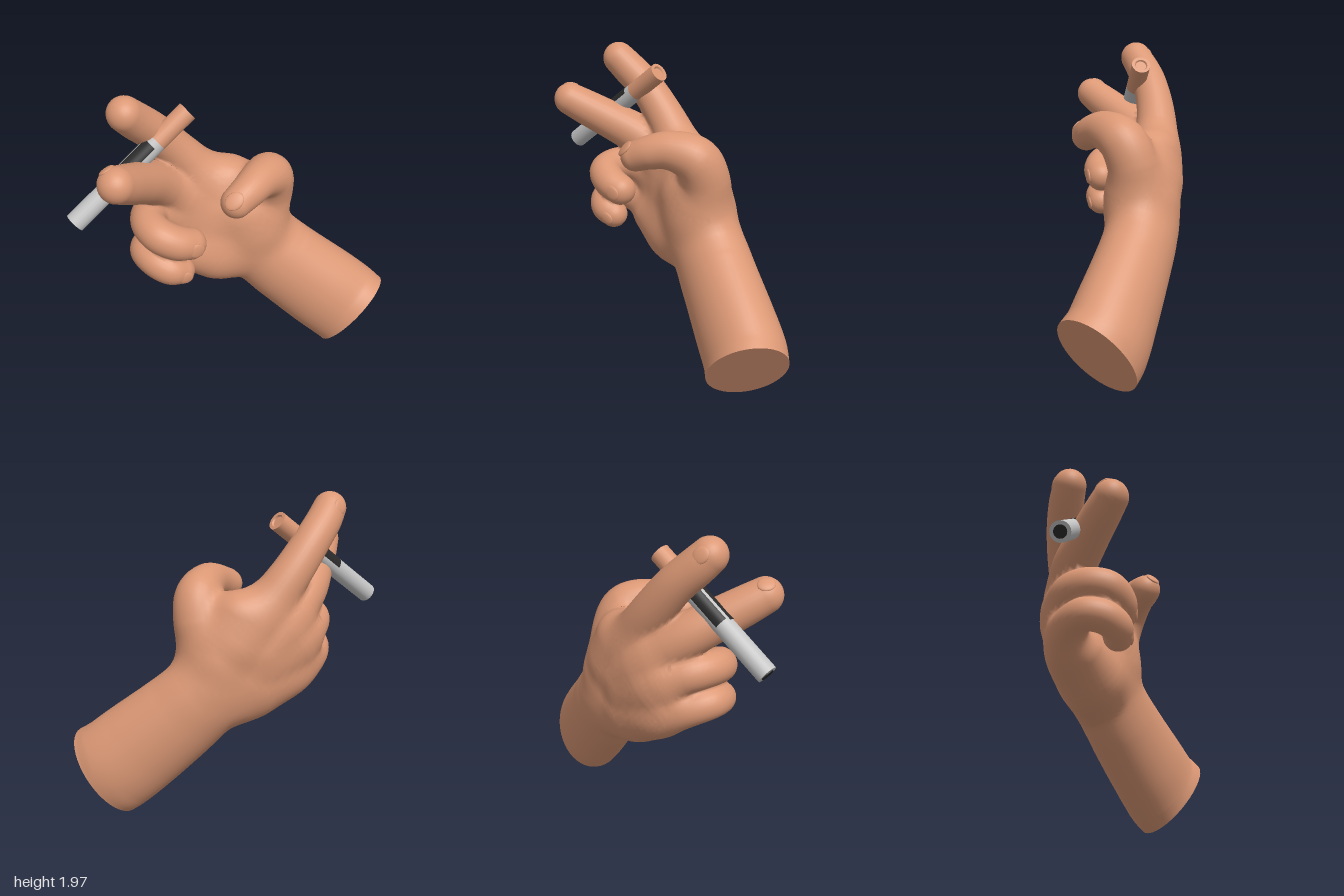
import * as THREE from 'three';

function material(name, color) {
  const m = new THREE.MeshStandardMaterial({ color });
  m.name = name;
  return m;
}
const skin = material('skin', 0xdb9875);
const paper = material('paleGrey', 0xc4c4c4);
const dark = material('charcoal', 0x2a2a2a);

const V = (a) => new THREE.Vector3(...a);

// Sweeps an ellipse along points [x, y, z, sideRadius, depthRadius], ending in a dome.
function limb(name, pts, depthDir, { endDir = depthDir, steps = 30, sides = 28 } = {}) {
  const path = new THREE.CatmullRomCurve3(pts.map((p) => V(p.slice(0, 3))));
  const radii = new THREE.CatmullRomCurve3(
    pts.map((p) => new THREE.Vector3(p[3], p[4] ?? p[3], 0)), false, 'catmullrom');
  const frames = [], pos = [], index = [];
  for (let i = 0; i <= steps; i++) {
    const t = path.getTangent(i / steps), r = radii.getPoint(i / steps);
    const d = V(depthDir).lerp(V(endDir), i / steps);
    d.addScaledVector(t, -d.dot(t)).normalize();
    frames.push({ c: path.getPoint(i / steps), t, d, s: d.clone().cross(t), ra: r.x, rb: r.y });
  }
  const ring = ({ c, t, d, s, ra, rb }, lift) => {
    for (let j = 0; j < sides; j++) {
      const a = (j / sides) * Math.PI * 2, w = Math.cos(lift);
      const p = c.clone().addScaledVector(s, ra * w * Math.cos(a))
        .addScaledVector(d, rb * w * Math.sin(a)).addScaledVector(t, rb * Math.sin(lift));
      pos.push(p.x, p.y, p.z);
    }
  };
  frames.forEach((f) => ring(f, 0));
  const dome = 9;
  for (let k = 1; k <= dome; k++) ring(frames[steps], (k / dome) * Math.PI * 0.495);
  for (let i = 0; i < steps + dome; i++) {
    for (let j = 0; j < sides; j++) {
      const a = i * sides + j, b = i * sides + ((j + 1) % sides);
      index.push(a, b, a + sides, b, b + sides, a + sides);
    }
  }
  const geo = new THREE.BufferGeometry();
  geo.setAttribute('position', new THREE.Float32BufferAttribute(pos, 3));
  geo.setIndex(index);
  geo.computeBoundingSphere();
  return { name, frames, geo };
}

// Signed distance from a point to a limb
const q = new THREE.Vector3(), ab = new THREE.Vector3();
function distance({ frames, geo }, p) {
  const far = geo.boundingSphere.distanceToPoint(p);
  if (far > 0.2) return far;
  let best = Infinity;
  for (let i = 0; i < frames.length - 1; i++) {
    const f = frames[i], g = frames[i + 1];
    ab.subVectors(g.c, f.c);
    q.subVectors(p, f.c);
    const h = Math.min(1, Math.max(0, q.dot(ab) / ab.lengthSq()));
    q.addScaledVector(ab, -h);
    const ra = f.ra + (g.ra - f.ra) * h, rb = f.rb + (g.rb - f.rb) * h;
    const x = q.dot(f.s) / ra, y = q.dot(f.d) / rb, z = q.dot(f.t) / rb;
    const k0 = Math.hypot(x, y, z), k1 = Math.hypot(x / ra, y / rb, z / rb) || 1;
    best = Math.min(best, k0 < 1e-4 ? -rb : (k0 * (k0 - 1)) / k1);
  }
  return best;
}

function softMin(a, b, k) {
  const h = Math.max(k - Math.abs(a - b), 0) / k;
  return Math.min(a, b) - (h * h * k) / 4;
}

function createHand() {
  const across = [0.5, 0.85, 0];
  const palm = limb('forearmAndPalm', [
    [0.797, 0.252, 0.14, 0.312, 0.24], [0.74, 0.302, 0.098, 0.31, 0.24],
    [0.6, 0.425, 0.04, 0.305, 0.235],
    [0.38, 0.62, -0.045, 0.285, 0.225], [0.22, 0.77, -0.1, 0.275, 0.22],
    [0.05, 0.89, -0.125, 0.325, 0.215], [-0.1, 1.03, -0.16, 0.36, 0.19],
    [-0.25, 1.14, -0.19, 0.315, 0.16], [-0.31, 1.18, -0.19, 0.28, 0.135],
  ], [0, -0.35, 1], { endDir: [0, 0, 1], steps: 48, sides: 48 });
  const core = [
    palm,
    limb('thumb', [
      [0.15, 0.9, -0.12, 0.17], [0.185, 1.04, -0.08, 0.175], [0.235, 1.22, -0.055, 0.152],
      [0.215, 1.36, 0.005, 0.143], [0.12, 1.42, 0.11, 0.118], [0.02, 1.405, 0.19, 0.103],
      [-0.065, 1.372, 0.235, 0.092],
    ], [0.7, -0.07, 0.7], { steps: 40 }),
    limb('thumbPad', [[0.14, 0.98, -0.07, 0.14], [0.07, 1.1, -0.07, 0.14]], [0, 0, 1]),
    limb('palmHeel', [[-0.1, 0.78, -0.1, 0.165], [-0.3, 0.86, -0.1, 0.125]], [0, 0, 1]),
    limb('thumbWeb', [[0.14, 1.02, -0.18, 0.13], [0.02, 1.28, -0.19, 0.135]], [0, 0, 1]),
  ];
  const fingers = [
    limb('indexFinger', [
      [0.02, 1.1, -0.21, 0.14], [-0.15, 1.32, -0.21, 0.14], [-0.31, 1.52, -0.205, 0.122],
      [-0.45, 1.69, -0.17, 0.112], [-0.55, 1.795, -0.12, 0.108], [-0.607, 1.862, -0.08, 0.102],
    ], across),
    limb('middleFinger', [
      [-0.1, 1.06, -0.22, 0.135], [-0.28, 1.23, -0.2, 0.142], [-0.44, 1.365, -0.11, 0.135],
      [-0.57, 1.475, 0.03, 0.122], [-0.67, 1.56, 0.15, 0.113], [-0.732, 1.615, 0.227, 0.104],
    ], across),
    limb('ringFinger', [
      [-0.12, 0.99, -0.2, 0.135], [-0.36, 1.11, -0.19, 0.13], [-0.5, 1.17, -0.1, 0.115],
      [-0.54, 1.18, 0.03, 0.105], [-0.5, 1.16, 0.135, 0.105], [-0.41, 1.115, 0.168, 0.104],
      [-0.327, 1.08, 0.153, 0.098],
    ], across, { steps: 40 }),
    limb('littleFinger', [
      [-0.1, 0.82, -0.16, 0.14], [-0.34, 0.87, -0.17, 0.125], [-0.5, 0.95, -0.1, 0.11],
      [-0.565, 0.98, 0.01, 0.1], [-0.53, 0.965, 0.115, 0.098], [-0.46, 0.93, 0.168, 0.095],
      [-0.395, 0.9, 0.158, 0.088],
    ], across, { steps: 40 }),
  ];

  // Fingers stay separate from each other but flow softly into the palm
  const field = (p) => softMin(
    core.map((l) => distance(l, p)).reduce((a, b) => softMin(a, b, 0.11)),
    fingers.map((l) => distance(l, p)).reduce((a, b) => softMin(a, b, 0.025)), 0.08);
  const slope = (p, e = 0.006) => {
    const diff = (x, y, z) => field(p.clone().add(new THREE.Vector3(x, y, z)))
      - field(p.clone().sub(new THREE.Vector3(x, y, z)));
    return new THREE.Vector3(diff(e, 0, 0), diff(0, e, 0), diff(0, 0, e)).divideScalar(2 * e);
  };
  const settle = (p) => {
    for (let i = 0; i < 2; i++) {
      const g = slope(p);
      p.addScaledVector(g, -field(p) / Math.max(g.lengthSq(), 0.3));
    }
    return p;
  };

  const hand = new THREE.Group();
  hand.name = 'hand';
  const add = (name, geo) => {
    const mesh = new THREE.Mesh(geo, skin);
    mesh.name = name;
    hand.add(mesh);
    return mesh;
  };
  for (const { name, geo } of [...core, ...fingers]) {
    const pos = geo.attributes.position, normals = [], p = new THREE.Vector3();
    for (let i = 0; i < pos.count; i++) {
      p.fromBufferAttribute(pos, i);
      const depth = field(p);
      if (depth > -0.07 && depth < -0.001) {
        settle(p);
        pos.setXYZ(i, p.x, p.y, p.z);
      }
      const n = slope(p).normalize();
      normals.push(n.x, n.y, n.z);
    }
    geo.setAttribute('normal', new THREE.Float32BufferAttribute(normals, 3));
    add(name, geo);
  }

  // flat cut at the end of the forearm
  const { c, t, d, s, ra, rb } = palm.frames[0];
  const cut = add('forearmCut', new THREE.CircleGeometry(1, 48));
  cut.quaternion.setFromRotationMatrix(new THREE.Matrix4().makeBasis(d, s, t.clone().negate()));
  cut.position.copy(c);
  cut.scale.set(rb, ra, 1);

  // shallow nails resting on the fingertips: near point, direction to the tip, half sizes
  const nails = [
    ['thumbNail', [-0.1, 1.43, 0.3], [-0.85, -0.35, 0.3], 0.048, 0.06],
    ['indexNail', [-0.63, 1.88, -0.17], [-0.6, 0.7, 0.4], 0.045, 0.052],
    ['middleNail', [-0.77, 1.69, 0.19], [-0.6, 0.5, 0.65], 0.045, 0.052],
    ['ringNail', [-0.305, 1.08, 0.25], [0.9, -0.4, 0], 0.048, 0.054],
    ['littleNail', [-0.375, 0.89, 0.245], [0.85, -0.45, 0], 0.042, 0.05],
  ];
  for (const [name, near, along, w, h] of nails) {
    const nail = add(name, new THREE.SphereGeometry(1, 20, 12));
    const p = settle(V(near)), n = slope(p).normalize();
    const u = V(along).addScaledVector(n, -V(along).dot(n)).normalize();
    nail.quaternion.setFromRotationMatrix(new THREE.Matrix4().makeBasis(u.clone().cross(n), u, n));
    nail.position.copy(p).addScaledVector(n, -0.01);
    nail.scale.set(w, h, 0.014);
  }
  return hand;
}

function createStick() {
  const stick = new THREE.Group();
  stick.name = 'stick';
  const a = new THREE.Vector3(-0.963, 1.277, 0.02), b = new THREE.Vector3(-0.245, 1.81, -0.11);
  const dir = b.clone().sub(a), len = dir.length(), r = 0.06;
  stick.position.copy(a);
  stick.quaternion.setFromUnitVectors(new THREE.Vector3(0, 1, 0), dir.normalize());
  const add = (name, geo, mat, y) => {
    const m = new THREE.Mesh(geo, mat);
    m.name = name;
    m.position.y = y;
    stick.add(m);
  };
  const body = len * 0.73, rest = len - body;
  add('paperTube', new THREE.CylinderGeometry(r, r, body, 20), paper, body / 2);
  add('darkTip', new THREE.CylinderGeometry(0.038, 0.038, 0.006, 20), dark, -0.002);
  // dark patches along the upper front and the back
  const patch = (name, from, to, start, sweep) => add(name, new THREE.CylinderGeometry(
    r + 0.003, r + 0.003, len * (to - from), 10, 1, true, Math.PI * start, Math.PI * sweep),
  dark, (len * (from + to)) / 2);
  patch('frontPatch', 0.38, 0.69, 1.52, 0.45);
  patch('backPatch', 0.4, 0.66, 1.05, 0.38);
  // mouth end with a shallow recess
  const profile = [[r, 0], [r, rest], [r, rest], [0.04, rest], [0.04, rest], [0.034, rest - 0.01],
    [0.034, rest - 0.01], [0, rest - 0.01]].map(([x, y]) => new THREE.Vector2(x, y));
  add('filter', new THREE.LatheGeometry(profile, 20), skin, body);
  return stick;
}

export function createModel() {
  const model = new THREE.Group();
  model.name = 'handHoldingStick';
  model.add(createHand(), createStick());
  return model;
}
